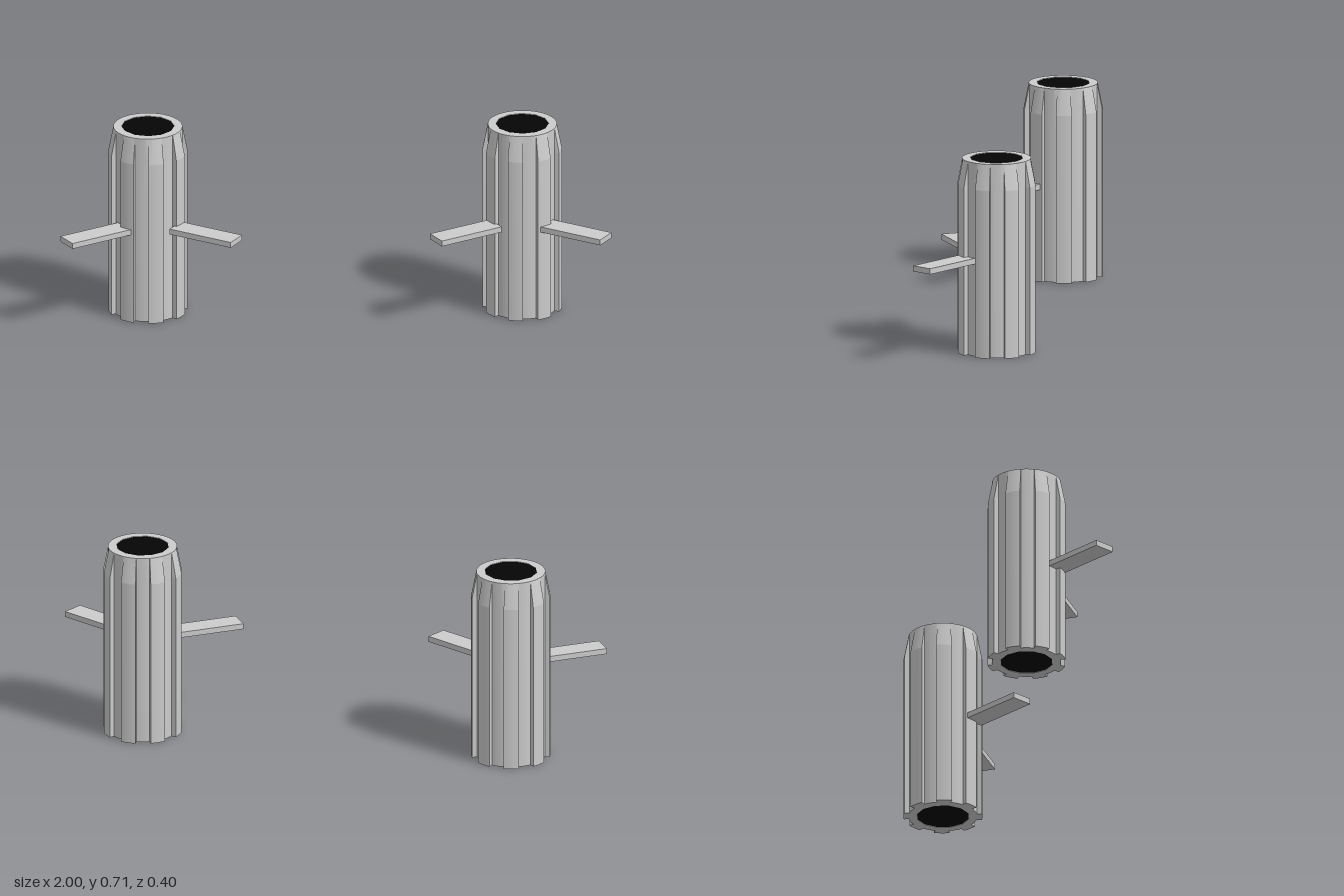
import * as THREE from 'three';
import { toCreasedNormals } from 'three/addons/utils/BufferGeometryUtils.js';

const HEIGHT = 0.715, SHOULDER = 0.62;
const RIB_R = 0.1435, TUBE_R = 0.125, BORE_R = 0.096;
const grey = new THREE.MeshStandardMaterial({ color: 0xcccccc });
const black = new THREE.MeshStandardMaterial({ color: 0x050505 });

function addMesh(parent, name, geometry, material = grey) {
  const mesh = new THREE.Mesh(geometry, material);
  mesh.name = name;
  parent.add(mesh);
  return mesh;
}

// Ring with eight ribs, alternating every 22.5 degrees
function ribbedOutline(side) {
  const step = Math.PI / 8, shape = new THREE.Shape();
  const start = side > 0 ? -step : 0;
  for (let i = 0; i < 16; i++) {
    const a = start + i * step;
    shape.absarc(0, 0, i % 2 ? TUBE_R : RIB_R, a, a + step, false);
  }
  const bore = new THREE.Path();
  bore.absarc(0, 0, BORE_R, 0, Math.PI * 2, true);
  shape.holes.push(bore);
  return shape;
}

function ribbedSection(side, y0, y1, tapered) {
  const geo = new THREE.ExtrudeGeometry(ribbedOutline(side), {
    depth: y1 - y0, bevelEnabled: false, curveSegments: 6,
  });
  geo.rotateX(-Math.PI / 2).translate(0, y0, 0);
  if (tapered) {
    // Draw the rib tops in to meet the tube
    const p = geo.attributes.position;
    for (let i = 0; i < p.count; i++) {
      const r = Math.hypot(p.getX(i), p.getZ(i));
      if (p.getY(i) > y1 - 1e-4 && r > TUBE_R) {
        p.setX(i, p.getX(i) * TUBE_R / r);
        p.setZ(i, p.getZ(i) * TUBE_R / r);
      }
    }
  }
  return toCreasedNormals(geo, 0.5);
}

// Flat arm angled forward; dir is the x direction, shift moves it sideways
function addArm(parent, name, dir, shift) {
  const from = 0.115, to = 0.37, angle = THREE.MathUtils.degToRad(31);
  const geo = new THREE.BoxGeometry(to - from, 0.021, 0.082);
  geo.translate((from + to) / 2, 0, dir * 0.036);
  geo.rotateY(-angle);
  if (dir < 0) {
    geo.dispose();
    const mirrored = new THREE.BoxGeometry(to - from, 0.021, 0.082);
    mirrored.translate(-(from + to) / 2, 0, 0.036).rotateY(angle);
    addMesh(parent, name, mirrored).position.set(-shift, 0.352, 0);
  } else {
    addMesh(parent, name, geo).position.set(shift, 0.352, 0);
  }
}

function createColumn(side) {
  const column = new THREE.Group();
  column.name = side > 0 ? 'leftColumn' : 'rightColumn';
  addMesh(column, 'ribbedBody', ribbedSection(side, 0, SHOULDER, false));
  addMesh(column, 'taperedTop', ribbedSection(side, SHOULDER, HEIGHT, true));

  // Dark filled bore, nearly flush at both ends
  const core = new THREE.CylinderGeometry(BORE_R, BORE_R, HEIGHT - 0.004, 48);
  addMesh(column, 'darkCore', core, black).position.y = HEIGHT / 2;

  addArm(column, 'outerArm', side, 0);
  addArm(column, 'innerArm', -side, 0.018);
  column.position.set(side * 0.678, 0, -0.0555);
  return column;
}

export function createModel() {
  const model = new THREE.Group();
  model.name = 'ribbedColumns';
  for (const side of [1, -1]) model.add(createColumn(side));
  return model;
}
